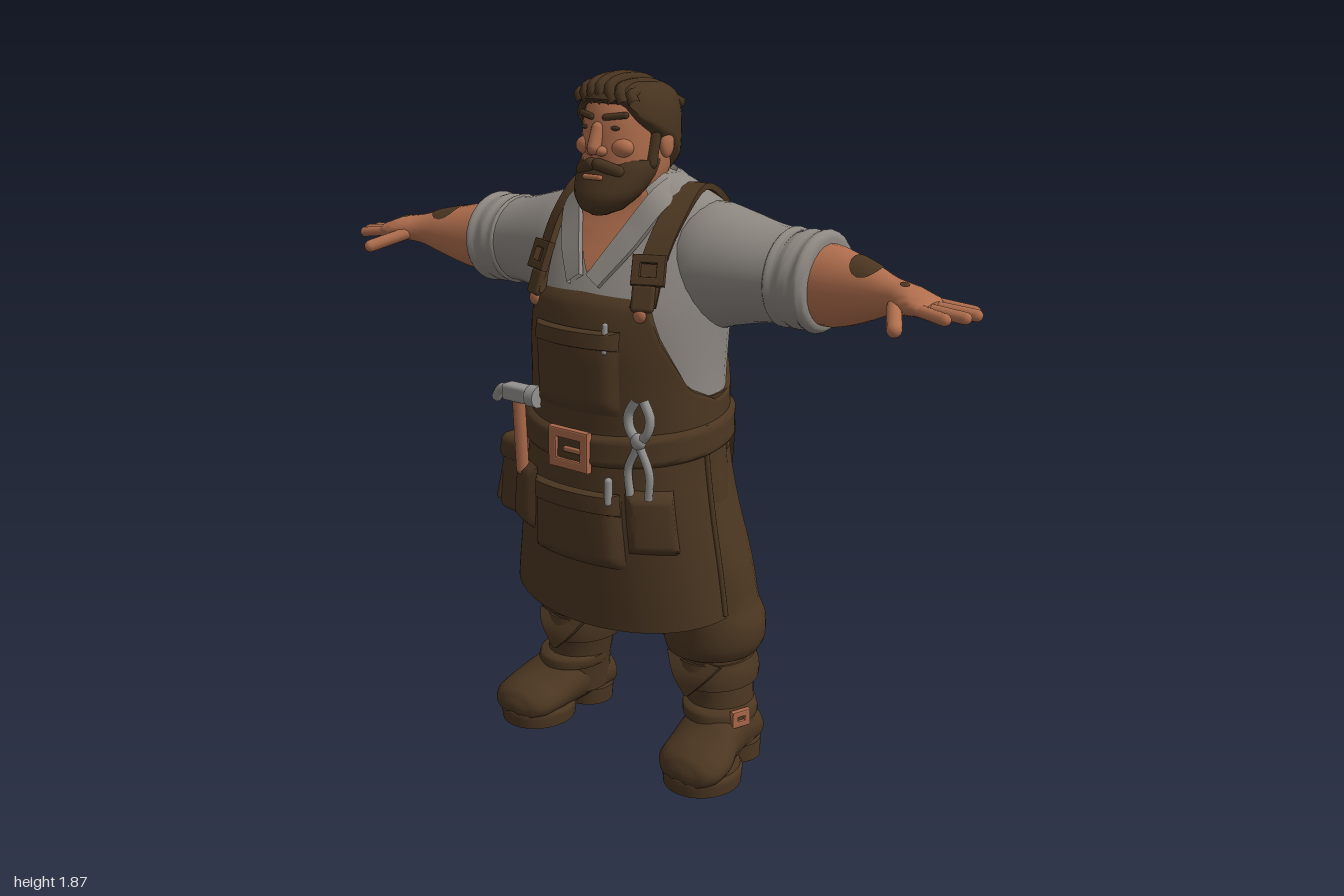
import * as THREE from 'three';
import { mergeVertices, toCreasedNormals } from 'three/addons/utils/BufferGeometryUtils.js';
import { RoundedBoxGeometry } from 'three/addons/geometries/RoundedBoxGeometry.js';

const PI = Math.PI;
const V = (x, y, z) => new THREE.Vector3(x, y, z);
const val = (f, ...a) => (typeof f === 'function' ? f(...a) : f);
const mat = (name, color, side = THREE.FrontSide) => Object.assign(new THREE.MeshStandardMaterial({ color, side }), { name });

// Piecewise linear lookup
const table = (rows) => (x) => {
  let i = 1;
  while (i < rows.length - 1 && x > rows[i][0]) i++;
  const [a, b] = [rows[i - 1], rows[i]];
  return a[1] + (b[1] - a[1]) * Math.min(1, Math.max(0, (x - a[0]) / (b[0] - a[0])));
};
// Angle away from the front (0) to the back (PI)
const fromFront = (th) => Math.abs(Math.atan2(Math.cos(th), Math.sin(th)));

// Grid of points to a smooth geometry with creases
function grid(rows, flip = false) {
  const n = rows[0].length, idx = [];
  for (let i = 0; i < rows.length - 1; i++) for (let j = 0; j < n - 1; j++) {
    const a = i * n + j, b = a + n, c = a + 1, d = b + 1;
    idx.push(...(flip ? [a, c, b, b, c, d] : [a, b, c, b, d, c]));
  }
  let g = new THREE.BufferGeometry().setFromPoints(rows.flat());
  g.setIndex(idx);
  return toCreasedNormals(mergeVertices(g, 1e-5), 0.95);
}

// Tubular surface through elliptical rings [t, centreA, centreB, radiusA, radiusB] along an axis
function surface(rings, axis = 'y') {
  const at = (t, th, off = 0) => {
    let k = 0;
    while (k < rings.length - 2 && t > rings[k + 1][0]) k++;
    const p = [-1, 0, 1, 2].map((d) => rings[Math.min(rings.length - 1, Math.max(0, k + d))]);
    const f = Math.min(1, Math.max(0, (t - p[1][0]) / (p[2][0] - p[1][0])));
    const [a, b, ra, rb] = [1, 2, 3, 4].map((c) => {
      const m0 = (p[2][c] - p[0][c]) / 2, m1 = (p[3][c] - p[1][c]) / 2, d = p[1][c] - p[2][c];
      return ((2 * d + m0 + m1) * f + (-3 * d - 2 * m0 - m1)) * f * f + m0 * f + p[1][c];
    });
    const u = a + (ra + off) * Math.cos(th), v = b + (rb + off) * Math.sin(th);
    return axis === 'y' ? V(u, t, v) : axis === 'x' ? V(t, u, v) : V(u, v, t);
  };
  return { at, rings, flip: axis !== 'y' };
}
function solid(s, seg = 28, sub = 3) {
  const ts = s.rings.flatMap((r, i) => i ? Array.from({ length: sub }, (_, k) =>
    s.rings[i - 1][0] + (r[0] - s.rings[i - 1][0]) * (k + 1) / sub) : [r[0]]);
  const rows = ts.map((t) => Array.from({ length: seg + 1 }, (_, j) => s.at(t, (j % seg) / seg * 2 * PI)));
  const cap = (row) => { const c = row[0].clone().add(row[seg / 2]).multiplyScalar(0.5); return row.map(() => c.clone()); };
  return grid([cap(rows[0]), ...rows, cap(rows[rows.length - 1])], s.flip);
}
const loft = (rings, axis, seg) => solid(surface(rings, axis), seg);

// Patch lying on a surface between two angles and two edges
function wrap(s, th0, th1, lo, hi, off, nu = 40, nv = 12) {
  const rows = [];
  for (let i = 0; i <= nv; i++) rows.push(Array.from({ length: nu + 1 }, (_, j) => {
    const u = j / nu, v = i / nv, th = th0 + (th1 - th0) * u, a = val(lo, th), b = val(hi, th);
    return s.at(a + (b - a) * v, th, val(off, u, v));
  }));
  return grid(rows, s.flip);
}
// Padded pocket on the front, given by its x and y extent
const pocket = (s, x0, x1, y0, y1, base, d) => wrap(s, Math.acos(x1 / 0.3), Math.acos(x0 / 0.3), y0, y1,
  (u, v) => base + d * Math.min(1, 9 * Math.min(u, 1 - u, v, 1 - v)), 22, 16);

// Thick band between two curved edges
function band(a, b, th) {
  const [ca, cb] = [a, b].map((p) => new THREE.CatmullRomCurve3(p.map((q) => V(...q))));
  return grid(Array.from({ length: 29 }, (_, i) => {
    const t = i / 28, p = ca.getPoint(t), q = cb.getPoint(t);
    const n = ca.getTangent(t).cross(q.clone().sub(p)).normalize().multiplyScalar(th / 2);
    return [p.clone().add(n), q.clone().add(n), q.clone().sub(n), p.clone().sub(n), p.clone().add(n)];
  }));
}
const ball = (x, y, z, a, b, c) => new THREE.SphereGeometry(1, 20, 14).scale(a, b, c).translate(x, y, z);
const box = (w, h, d, x, y, z, r = 0.01) => new RoundedBoxGeometry(w, h, d, 3, r).translate(x, y, z);
const tube = (pts, r) => new THREE.TubeGeometry(new THREE.CatmullRomCurve3(pts.map((p) => V(...p))), 18, r, 8);
function capsule(p, q, r) {
  const a = V(...p), b = V(...q), d = b.clone().sub(a);
  const turn = new THREE.Quaternion().setFromUnitVectors(V(0, 1, 0), d.clone().normalize());
  return new THREE.CapsuleGeometry(r, d.length(), 6, 12).applyQuaternion(turn).translate(...a.add(b).multiplyScalar(0.5).toArray());
}
function frame(w, h, bar, depth, x, y, z) {
  const rect = (S, a, b) => new S([[-a, -b], [a, -b], [a, b], [-a, b]].map((p) => new THREE.Vector2(...p)));
  const s = rect(THREE.Shape, w / 2, h / 2);
  s.holes.push(rect(THREE.Path, w / 2 - bar, h / 2 - bar));
  return new THREE.ExtrudeGeometry(s, { depth, bevelSize: 0.004, bevelThickness: 0.004, bevelSegments: 2 }).translate(x, y, z);
}
// Mirror a geometry in x, keeping faces outward
function mirror(geo) {
  const g = (geo.index ? geo.toNonIndexed() : geo.clone()).scale(-1, 1, 1);
  g.deleteAttribute('uv');
  for (const { array: a } of Object.values(g.attributes)) for (let i = 0; i < a.length; i += 9)
    for (let k = 0; k < 3; k++) [a[i + k], a[i + 6 + k]] = [a[i + 6 + k], a[i + k]];
  return g;
}

export function createModel() {
  const model = new THREE.Group();
  model.name = 'craftsman';
  const leather = mat('brown leather', 0x4b3621, THREE.DoubleSide), shirt = mat('grey cloth', 0x8d8781, THREE.DoubleSide);
  const skin = mat('skin', 0xb06e4d), hair = mat('hair', 0x47331f), copper = mat('copper', 0xa9684a), metal = mat('steel', 0x92918e);
  const add = (name, geo, m) => { const o = new THREE.Mesh(geo, m); o.name = name; model.add(o); };
  const both = (name, geo, m) => { add('left ' + name, geo, m); add('right ' + name, mirror(geo), m); };

  // Shirt body, neck and open chest
  const torso = surface([[0.97, 0, 0, 0.278, 0.213], [1.1, 0, -0.005, 0.272, 0.223], [1.2, 0, -0.01, 0.273, 0.23], [1.3, 0, -0.02, 0.277, 0.222],
    [1.4, 0, -0.045, 0.28, 0.2], [1.48, 0, -0.065, 0.27, 0.172], [1.54, 0, -0.07, 0.24, 0.145], [1.58, 0, -0.06, 0.185, 0.125], [1.62, 0, -0.05, 0.11, 0.1]]);
  add('shirt body', solid(torso, 40), shirt);
  add('neck', loft([[1.5, 0, -0.03, 0.1, 0.09], [1.58, 0, -0.025, 0.09, 0.09], [1.68, 0, -0.02, 0.085, 0.09]]), skin);
  add('open chest', wrap(torso, PI / 2 - 0.55, PI / 2 + 0.55, (t) => 1.38 + 0.36 * fromFront(t), 1.615, 0.006), skin);
  both('collar', band([[0, 1.635, -0.13], [0.09, 1.62, -0.08], [0.115, 1.585, 0.045], [0.075, 1.5, 0.105], [0.01, 1.375, 0.182]],
    [[0, 1.585, -0.18], [0.13, 1.58, -0.12], [0.16, 1.545, 0.045], [0.12, 1.45, 0.125], [0.05, 1.35, 0.185]], 0.014), shirt);

  // Sleeves, rolled cuffs and forearms
  both('sleeve', loft([[0.12, 1.4, -0.075, 0.13, 0.13], [0.22, 1.39, -0.078, 0.165, 0.155], [0.3, 1.392, -0.08, 0.148, 0.15], [0.4, 1.39, -0.08, 0.125, 0.135], [0.48, 1.388, -0.08, 0.118, 0.125]], 'x'), shirt);
  both('rolled cuff', loft([[0.44, 1.387, -0.08, 0.11, 0.115], [0.455, 1.387, -0.08, 0.126, 0.133], [0.475, 1.386, -0.08, 0.118, 0.126], [0.5, 1.386, -0.08, 0.125, 0.132],
    [0.525, 1.386, -0.08, 0.12, 0.126], [0.545, 1.386, -0.08, 0.128, 0.136], [0.562, 1.386, -0.08, 0.115, 0.12], [0.563, 1.386, -0.08, 0.09, 0.095]], 'x'), shirt);
  const arm = surface([[0.5, 1.385, -0.08, 0.1, 0.1], [0.58, 1.38, -0.075, 0.1, 0.099], [0.65, 1.382, -0.055, 0.085, 0.082], [0.72, 1.388, -0.03, 0.064, 0.062],
    [0.78, 1.392, -0.008, 0.043, 0.05], [0.84, 1.392, 0.012, 0.034, 0.06], [0.885, 1.386, 0.018, 0.024, 0.06], [0.9, 1.384, 0.02, 0.015, 0.05]], 'x');
  both('forearm and palm', solid(arm, 24), skin);
  const round = (mid, half, x, r) => [-1, 1].map((s) => (t) => x + s * r * Math.sqrt(Math.max(0, 1 - ((t - mid) / half) ** 2)));
  both('arm mark', wrap(arm, -0.55, 0.95, ...round(0.2, 0.75, 0.695, 0.042), 0.003, 20, 10), leather);
  both('hand mark', wrap(arm, 0.05, 0.5, ...round(0.275, 0.225, 0.822, 0.014), 0.003, 10, 6), leather);
  [[-0.03, 0.965, -0.042], [0.003, 0.986, -0.01], [0.035, 0.98, 0.032], [0.062, 0.952, 0.075]].forEach(([z, x, tip], i) =>
    both('finger ' + (i + 1), capsule([0.875, 1.385, z], [x, 1.375, tip], 0.0145), skin));
  both('thumb', capsule([0.81, 1.38, 0.045], [0.862, 1.35, 0.135], 0.018), skin);

  // Head and face
  const head = surface([[1.53, 0, 0.03, 0.05, 0.06], [1.58, 0, 0.02, 0.09, 0.1], [1.64, 0, 0.01, 0.108, 0.12], [1.7, 0, 0.005, 0.112, 0.125],
    [1.77, 0, 0, 0.108, 0.122], [1.82, 0, -0.005, 0.09, 0.105], [1.848, 0, -0.005, 0.055, 0.07], [1.86, 0, -0.005, 0.001, 0.001]]);
  add('head', solid(head, 32), skin);
  add('nose', capsule([0, 1.735, 0.122], [0, 1.69, 0.14], 0.018), skin);
  both('nostril', ball(0.017, 1.682, 0.13, 0.015, 0.013, 0.017), skin);
  both('cheek', ball(0.055, 1.69, 0.098, 0.035, 0.025, 0.025), skin);
  both('ear', ball(0.118, 1.697, -0.005, 0.014, 0.036, 0.024), skin);
  both('eye', ball(0.045, 1.738, 0.114, 0.017, 0.006, 0.006), hair);
  both('eyebrow', capsule([0.022, 1.764, 0.12], [0.07, 1.77, 0.1], 0.0085), hair);

  // Beard and moustache
  add('beard', loft([[1.522, 0, 0.115, 0.02, 0.025], [1.535, 0, 0.11, 0.055, 0.05], [1.57, 0, 0.088, 0.09, 0.076], [1.61, 0, 0.06, 0.108, 0.087], [1.64, 0, 0.043, 0.114, 0.09], [1.66, 0, 0.03, 0.113, 0.088]]), hair);
  both('moustache', capsule([0.012, 1.65, 0.138], [0.06, 1.632, 0.115], 0.016), hair);
  add('mouth', capsule([-0.024, 1.618, 0.146], [0.024, 1.618, 0.146], 0.007), skin);
  both('sideburn', capsule([0.103, 1.65, 0.04], [0.106, 1.735, 0.025], 0.016), hair);

  // Hair swept back over the crown
  const hairline = table([[0, 1.798], [0.6, 1.795], [0.95, 1.75], [1.35, 1.715], [1.7, 1.69], [2.1, 1.63], [PI, 1.62]]);
  add('hair', wrap(head, 0, 2 * PI, (t) => hairline(fromFront(t)), 1.86, (u, v) => 0.02 * Math.min(1, 6 * v + 0.1, 8 * (1 - v)), 48, 18), hair);
  for (let i = -3; i <= 3; i++) {
    const x = i * 0.028, drop = 5 * x * x;
    add('hair strand', tube([[x + 0.01, 1.797, 0.108 - 2 * x * x], [x - 0.008, 1.835 - drop / 2, 0.104 - drop / 2], [x - 0.01, 1.856 - drop, 0.05], [x, 1.853 - drop, -0.03], [x * 0.9, 1.79, -0.115]], 0.015), hair);
  }

  // Trousers and boots
  const hips = surface([[0.57, 0, -0.04, 0.2, 0.12], [0.63, 0, -0.03, 0.28, 0.17], [0.75, 0, -0.02, 0.3, 0.19], [0.9, 0, -0.005, 0.285, 0.212], [1.07, 0, -0.003, 0.28, 0.226]]);
  add('trouser seat', solid(hips, 36), leather);
  both('trouser leg', loft([[0.325, 0.235, -0.075, 0.1, 0.11], [0.335, 0.235, -0.077, 0.125, 0.13], [0.37, 0.238, -0.077, 0.14, 0.142], [0.43, 0.236, -0.075, 0.143, 0.145],
    [0.48, 0.222, -0.065, 0.138, 0.146], [0.6, 0.188, -0.045, 0.155, 0.165], [0.75, 0.15, -0.02, 0.155, 0.185], [0.9, 0.13, -0.01, 0.145, 0.19]]), leather);
  both('boot shaft', loft([[0.06, 0.27, -0.09, 0.085, 0.1], [0.14, 0.265, -0.085, 0.09, 0.1], [0.2, 0.256, -0.085, 0.092, 0.098], [0.27, 0.245, -0.085, 0.097, 0.11], [0.34, 0.236, -0.08, 0.1, 0.11]]), leather);
  both('boot cuff', loft([[0.235, 0.248, -0.088, 0.09, 0.105], [0.242, 0.247, -0.088, 0.107, 0.124], [0.285, 0.243, -0.088, 0.11, 0.127], [0.315, 0.24, -0.085, 0.105, 0.12]]), leather);
  both('boot flap', band([[0.15, 0.325, 0.015], [0.19, 0.27, 0.04], [0.235, 0.225, 0.048]], [[0.325, 0.32, 0.01], [0.3, 0.285, 0.036], [0.245, 0.225, 0.048]], 0.012), leather);
  both('boot foot', loft([[-0.2, 0.265, 0.072, 0.05, 0.04], [-0.175, 0.268, 0.08, 0.078, 0.062], [-0.08, 0.275, 0.1, 0.088, 0.085], [0, 0.285, 0.095, 0.096, 0.082],
    [0.06, 0.298, 0.078, 0.105, 0.062], [0.12, 0.304, 0.066, 0.1, 0.052], [0.153, 0.306, 0.06, 0.075, 0.04], [0.168, 0.306, 0.055, 0.035, 0.02]], 'z'), leather);
  both('boot sole', loft([[0, 0.302, 0.055, 0.104, 0.112], [0.04, 0.302, 0.055, 0.107, 0.116], [0.05, 0.302, 0.055, 0.1, 0.11]]), leather);
  both('boot heel', loft([[0, 0.272, -0.125, 0.084, 0.075], [0.05, 0.27, -0.125, 0.086, 0.078]]), leather);
  both('boot strap', loft([[0.145, 0.27, -0.07, 0.09, 0.1], [0.15, 0.27, -0.07, 0.1, 0.112], [0.18, 0.266, -0.07, 0.099, 0.108], [0.185, 0.266, -0.07, 0.09, 0.1]]), leather);
  add('boot buckle', frame(0.05, 0.04, 0.01, 0.01, 0, 0, 0).rotateY(PI / 2 - 0.35).translate(0.357, 0.165, -0.035), copper);

  // Apron bib, skirt and rear flap
  const bibTop = table([[0, 1.335], [0.7, 1.325], [0.85, 1.24], [1.2, 1.1], [1.6, 1.06], [2.15, 1.08], [2.6, 1.2], [PI, 1.35]]);
  add('apron bib', wrap(torso, 0, 2 * PI, 0.99, (t) => bibTop(fromFront(t)), (u, v) => 0.013 * Math.min(1, (1 - v) * 20), 80, 22), leather);
  const skirt = surface([[0.43, 0, 0, 0.366, 0.225], [0.6, 0, 0, 0.343, 0.232], [0.8, 0, 0.003, 0.31, 0.235], [0.95, 0, 0.003, 0.29, 0.225], [1.06, 0, 0, 0.285, 0.23]]);
  add('apron skirt', wrap(skirt, 0.15, PI - 0.15, (t) => 0.49 - 0.05 * Math.sin(t), 1.02, 0, 48, 16), leather);
  both('skirt hem edge', tube([0.49, 0.6, 0.75, 0.9, 1].map((y) => skirt.at(y, 0.16).toArray()), 0.008), leather);
  add('rear flap', wrap(hips, PI + 0.72, 2 * PI - 0.72, (t) => 0.65 + 0.3 * Math.abs((t - 1.5 * PI) / 0.85) ** 3, 1.0, (u, v) => 0.012 + 0.018 * (1 - v), 30, 12), leather);

  // Pockets
  add('chest pocket', pocket(torso, -0.15, 0.14, 1.03, 1.24, 0.013, 0.016), leather);
  add('chest pocket flap', pocket(torso, -0.15, 0.14, 1.2, 1.25, 0.018, 0.018), leather);
  add('lower pocket', pocket(skirt, -0.13, 0.14, 0.62, 0.82, 0.001, 0.024), leather);
  add('lower pocket flap', pocket(skirt, -0.13, 0.14, 0.77, 0.83, 0.012, 0.019), leather);
  add('hammer pocket', pocket(skirt, -0.245, -0.145, 0.66, 0.84, 0.001, 0.026), leather);
  add('pliers pocket', pocket(skirt, 0.15, 0.25, 0.67, 0.84, 0.001, 0.03), leather);

  // Belt and buckle
  add('belt', wrap(skirt, 0, 2 * PI, (t) => 0.925 - 0.035 * Math.sin(t), (t) => 1.01 - 0.035 * Math.sin(t), (u, v) => 0.018 * Math.min(1, 8 * Math.min(v, 1 - v)), 64, 12), leather);
  add('belt buckle', frame(0.125, 0.1, 0.018, 0.014, 0, 0.93, 0.236), copper);
  add('buckle prong', box(0.06, 0.014, 0.012, 0.015, 0.93, 0.249, 0.004), copper);
  add('rear belt button', ball(0, 0.99, -0.243, 0.024, 0.024, 0.01), leather);

  // Shoulder straps with buckles and rivets
  const path = [[0.175, 1.31, 0.163], [0.178, 1.42, 0.123], [0.182, 1.52, 0.055], [0.18, 1.592, -0.055], [0.172, 1.545, -0.165], [0.145, 1.47, -0.228], [0.08, 1.38, -0.254], [0.015, 1.29, -0.255]];
  const edge = (s) => path.map(([x, y, z]) => [x + s * 0.028, y, z - s * (z > 0 ? 0.016 : z < -0.1 ? -0.01 : 0)]);
  both('shoulder strap', band(edge(1), edge(-1), 0.016), leather);
  both('strap buckle', frame(0.078, 0.07, 0.014, 0.014, 0, 0, 0).rotateX(-0.35).rotateY(0.4).translate(0.177, 1.4, 0.138), leather);
  both('strap tab', box(0.06, 0.07, 0.02, 0, 0, 0).rotateX(-0.3).rotateY(0.4).translate(0.178, 1.335, 0.165), leather);
  both('strap rivet', ball(0.175, 1.293, 0.174, 0.019, 0.019, 0.012), copper);

  // Hip pouch
  add('hip pouch', box(0.11, 0.22, 0.15, 0, 0, 0, 0.03).rotateZ(-0.12).translate(-0.352, 0.735, 0.02), leather);
  add('pouch flap', box(0.118, 0.08, 0.16, 0, 0, 0, 0.025).rotateZ(-0.12).translate(-0.345, 0.82, 0.02), leather);
  add('pouch strap', capsule([-0.375, 0.84, 0.075], [-0.41, 0.67, 0.085], 0.01), leather);

  // Hammer, pliers and small tools
  add('hammer handle', capsule([-0.215, 1.02, 0.205], [-0.215, 0.82, 0.195], 0.018), copper);
  add('hammer head', box(0.09, 0.046, 0.046, -0.215, 1.035, 0.205), metal);
  add('hammer face', new THREE.CylinderGeometry(0.03, 0.03, 0.03, 16).rotateZ(PI / 2).translate(-0.155, 1.035, 0.205), metal);
  add('hammer claw', tube([[-0.25, 1.04, 0.205], [-0.28, 1.035, 0.203], [-0.302, 1.005, 0.2]], 0.014), metal);
  for (const s of [-1, 1]) {
    add('pliers handle', tube([[0.2 + s * 0.03, 0.83, 0.205], [0.2 + s * 0.034, 0.9, 0.208], [0.2 + s * 0.012, 0.95, 0.208], [0.2 - s * 0.008, 0.985, 0.208]], 0.011), metal);
    add('pliers jaw', tube([[0.2, 0.975, 0.208], [0.2 + s * 0.03, 1.01, 0.208], [0.2 + s * 0.034, 1.045, 0.206], [0.2 + s * 0.012, 1.085, 0.203]], 0.013), metal);
  }
  add('pliers pivot', ball(0.2, 0.98, 0.21, 0.022, 0.022, 0.017), metal);
  add('screwdriver', capsule([0.125, 0.81, 0.24], [0.125, 0.865, 0.238], 0.011), metal);
  add('marking pencil', capsule([0.105, 1.2, 0.228], [0.103, 1.265, 0.222], 0.008), metal);
  return model;
}
